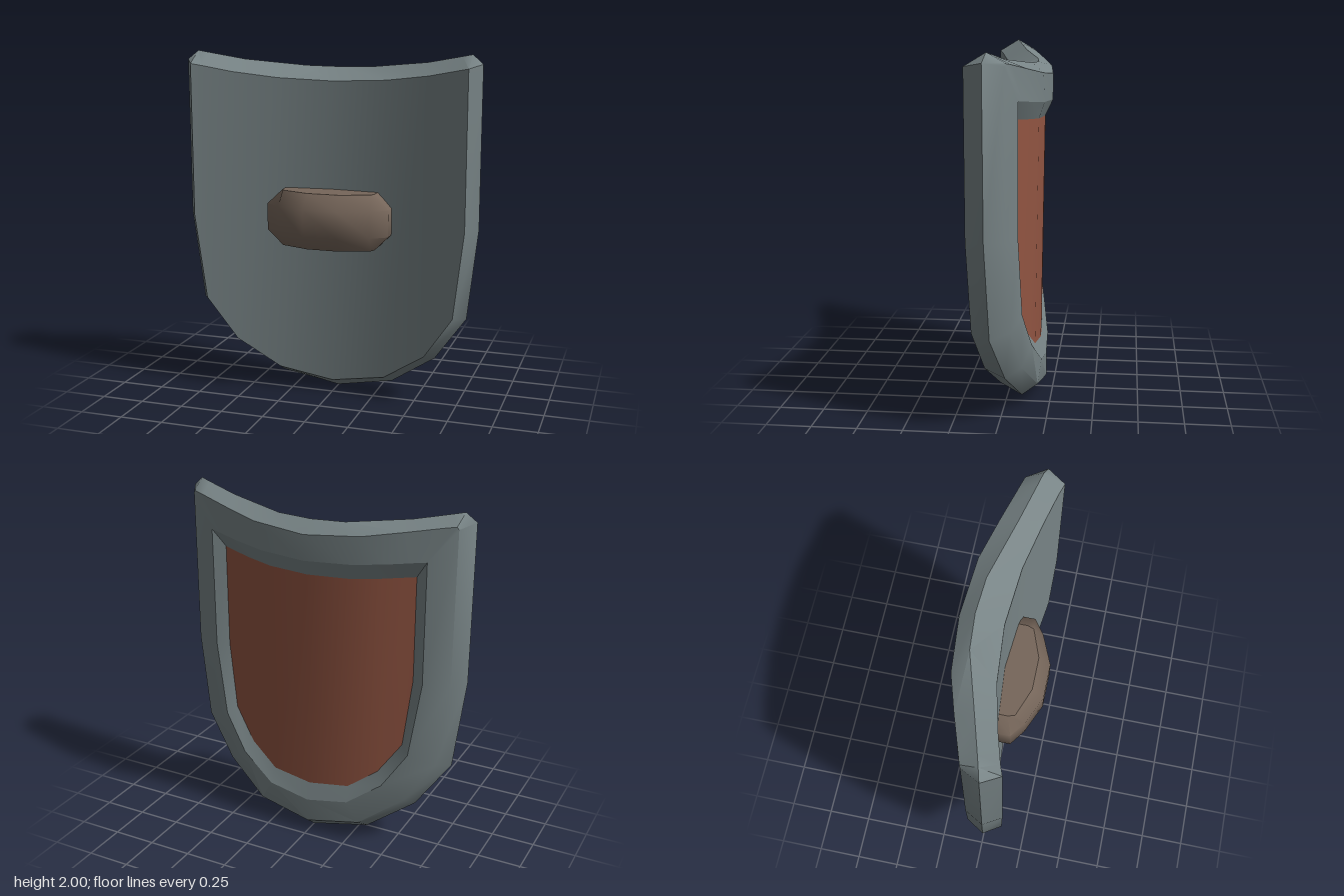
import * as THREE from 'three';
import { toCreasedNormals } from 'three/addons/utils/BufferGeometryUtils.js';

// Mirror a half outline (bottom centre, up the +x side, to top centre) into a full loop
function fullLoop(half) {
  const left = half.slice(1, -1).reverse().map(([x, y, z]) => [-x, y, z]);
  return [...half, ...left];
}

// Collect quads (corners counter-clockwise), skipping collapsed triangles
function addQuad(out, a, b, c, d) {
  const same = (p, q) => p.every((v, i) => v === q[i]);
  for (const [p, q, r] of [[a, b, c], [a, c, d]]) {
    if (!same(p, q) && !same(q, r) && !same(p, r)) out.push(...p, ...q, ...r);
  }
}

// Band joining two loops of equal length
function addBand(out, A, B) {
  A.forEach((a, i) => {
    const j = (i + 1) % A.length;
    addQuad(out, a, B[i], B[j], A[j]);
  });
}

// Fill a shield outline with vertical strips, so that it curves from side to side
function addFace(out, L, facingBack) {
  for (let k = -4; k < 4; k++) {
    const bottom = (i) => L[(i + 20) % 20];
    const top = (i) => L[10 - i];
    const q = [bottom(k), bottom(k + 1), top(k + 1), top(k)];
    addQuad(out, ...(facingBack ? q.reverse() : q));
  }
}

function makeMesh(name, positions, material, crease) {
  const g = new THREE.BufferGeometry();
  g.setAttribute('position', new THREE.Float32BufferAttribute(positions, 3));
  const mesh = new THREE.Mesh(toCreasedNormals(g, crease), material);
  mesh.name = name;
  return mesh;
}

export function createModel() {
  const metal = new THREE.MeshStandardMaterial({ color: 0x788486 });
  metal.name = 'grey metal';
  const red = new THREE.MeshStandardMaterial({ color: 0x925542 });
  red.name = 'rust red';
  const brown = new THREE.MeshStandardMaterial({ color: 0x76665a });
  brown.name = 'brown leather';

  // Shield outlines: hollow face, outer ridge, back rim, rim inner edge, panel edge
  const face = fullLoop([
    [0, 0.07, -0.005], [0.32, 0.13, 0.022], [0.57, 0.3, 0.08], [0.74, 0.55, 0.128], [0.8, 1.05, 0.147],
    [0.8, 1.93, 0.15], [0.8, 1.93, 0.15], [0.74, 1.918, 0.128], [0.57, 1.884, 0.08], [0.32, 1.852, 0.022], [0, 1.838, -0.005],
  ]);
  const ridge = fullLoop([
    [0, 0, -0.125], [0.34, 0.07, -0.1], [0.61, 0.26, -0.035], [0.8, 0.53, 0.025], [0.86, 1.05, 0.045],
    [0.86, 1.95, 0.05], [0.8, 2, 0.035], [0.74, 1.988, 0.018], [0.54, 1.95, -0.04], [0.2, 1.915, -0.14], [0, 1.91, -0.155],
  ]);
  const back = fullLoop([
    [0, 0.07, -0.212], [0.32, 0.13, -0.187], [0.57, 0.31, -0.12], [0.74, 0.56, -0.077], [0.8, 1.05, -0.06],
    [0.8, 1.93, -0.055], [0.79, 1.945, -0.06], [0.72, 1.935, -0.083], [0.54, 1.905, -0.143], [0.32, 1.87, -0.21], [0, 1.845, -0.24],
  ]);
  const rim = fullLoop([
    [0, 0.21, -0.212], [0.25, 0.255, -0.202], [0.45, 0.4, -0.165], [0.59, 0.61, -0.125], [0.655, 1.05, -0.108],
    [0.655, 1.75, -0.108], [0.655, 1.75, -0.108], [0.59, 1.743, -0.127], [0.45, 1.727, -0.17], [0.27, 1.71, -0.213], [0, 1.7, -0.24],
  ]);
  const panelEdge = fullLoop([
    [0, 0.31, -0.18], [0.24, 0.342, -0.165], [0.41, 0.465, -0.128], [0.54, 0.65, -0.088], [0.587, 1.05, -0.074],
    [0.587, 1.65, -0.074], [0.587, 1.65, -0.074], [0.54, 1.645, -0.09], [0.41, 1.632, -0.136], [0.24, 1.618, -0.18], [0, 1.61, -0.197],
  ]);

  const group = new THREE.Group();
  group.name = 'shield';

  // Metal body
  const body = [];
  addFace(body, face, false);
  [[face, ridge], [ridge, back], [back, rim]].forEach(([a, b]) => addBand(body, a, b));
  group.add(makeMesh('shieldBody', body, metal, 0.84));

  // Sloping step from the rim down to the panel, kept apart for a crisp edge
  const bevel = [];
  addBand(bevel, rim, panelEdge);
  group.add(makeMesh('rimBevel', bevel, metal, 0.6));

  // Inset back panel
  const panel = [];
  addFace(panel, panelEdge, true);
  group.add(makeMesh('backPanel', panel, red, 0.6));

  // Chamfered grip: plan outlines [x, z] stacked in height, with flat caps
  const wide = [[0.36, -0.02], [0.36, 0.1], [0.27, 0.165], [0.1, 0.238]];
  const narrow = [[0.275, -0.02], [0.275, 0.07], [0.262, 0.108], [0.095, 0.17]];
  const ring = (pts, y) => [...pts, ...[...pts].reverse().map(([x, z]) => [-x, z])].map(([x, z]) => [x, y, z]);
  const rings = [ring(narrow, 0.9), ring(wide, 0.985), ring(wide, 1.138), ring(narrow, 1.222)];
  const [low, , , high] = rings;
  const sides = [];
  const caps = [];
  for (let k = 0; k < 3; k++) {
    addBand(sides, rings[k], rings[k + 1]);
    addQuad(caps, high[k], high[7 - k], high[6 - k], high[k + 1]);
    addQuad(caps, low[k], low[k + 1], low[6 - k], low[7 - k]);
  }
  const grip = new THREE.Group();
  grip.name = 'handGrip';
  grip.add(makeMesh('gripSides', sides, brown, 1.1), makeMesh('gripCaps', caps, brown, 0.5));
  group.add(grip);

  return group;
}
